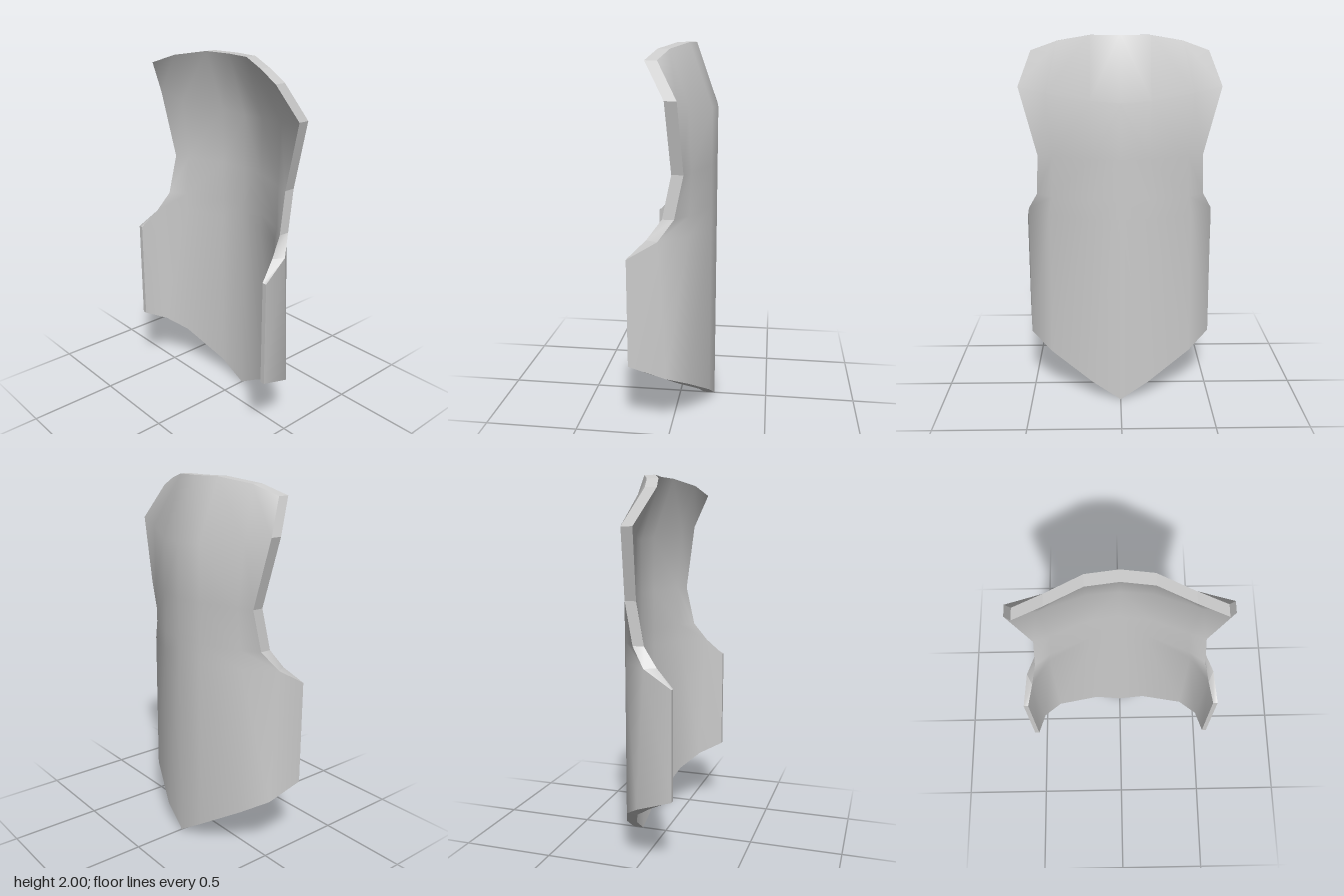
import * as THREE from 'three';

// Outer surface of one half, bottom row to top row, from the centre ridge to the side edge: [x, y, z]
const ROWS = [
  [[0.2, 0, 0], [0.182, 0.1, 0.155], [0.09, 0.25, 0.39], [-0.01, 0.33, 0.51], [-0.203, 0.4, 0.535]],
  [[0.2, 1.06, 0], [0.182, 1.06, 0.155], [0.09, 1.06, 0.385], [-0.05, 1.06, 0.51], [-0.203, 0.97, 0.535]],
  [[0.2, 1.16, 0], [0.182, 1.16, 0.155], [0.09, 1.16, 0.37], [0.025, 1.16, 0.455]],
  [[0.2, 1.38, 0], [0.182, 1.38, 0.155], [0.1, 1.38, 0.36], [0.07, 1.38, 0.44]],
  [[0.2, 1.67, 0], [0.182, 1.68, 0.155], [0.085, 1.71, 0.385], [0.05, 1.74, 0.535]],
  [[0.085, 2, 0], [0.065, 2, 0.155], [-0.01, 1.97, 0.33], [-0.05, 1.92, 0.472]],
];
const THICK = 0.06;

// Inner surface: pushed back in x, but inwards in z along the side wings
function innerPoint([x, y, z], row, col) {
  if (row < 2 && col === 4) return [x, y, z - 0.025];
  if (row < 2 && col === 3) return [x - THICK, y, z - 0.03];
  return [x - THICK, y, z];
}

function plateGeometry() {
  const outer = [], inner = [], ids = new Map();
  ROWS.forEach((row, r) => {
    for (let c = 1 - row.length; c < row.length; c++) {
      const k = Math.abs(c), s = c < 0 ? -1 : 1;
      const mirror = ([x, y, z]) => [x, y, z * s];
      ids.set(`${r},${c}`, outer.length);
      outer.push(mirror(row[k]));
      inner.push(mirror(innerPoint(row[k], r, k)));
    }
  });

  // Triangles of the outer sheet, with mirrored diagonals
  const tris = [];
  for (let r = 0; r < ROWS.length - 1; r++) {
    for (let c = -4; c < 4; c++) {
      const [a, b, d, e] = [[r, c], [r, c + 1], [r + 1, c], [r + 1, c + 1]].map((p) => ids.get(p.join()));
      if ([a, b, d, e].includes(undefined)) continue;
      if (c >= 0) tris.push([a, d, b], [b, d, e]);
      else tris.push([a, d, e], [a, e, b]);
    }
  }

  const n = outer.length;
  const points = [...outer, ...inner];
  const index = [];
  const edges = new Set();
  for (const [a, b, c] of tris) {
    index.push(a, b, c, n + a, n + c, n + b);
    [[a, b], [b, c], [c, a]].forEach((e) => edges.add(e.join()));
  }

  // Rim: a flat wall along every open edge
  for (const key of edges) {
    const [a, b] = key.split(',').map(Number);
    if (edges.has(`${b},${a}`)) continue;
    const i = points.length;
    points.push(outer[a], outer[b], inner[b], inner[a]);
    index.push(i, i + 2, i + 1, i, i + 3, i + 2);
  }

  const geometry = new THREE.BufferGeometry();
  geometry.setAttribute('position', new THREE.Float32BufferAttribute(points.flat(), 3));
  geometry.setIndex(index);
  geometry.computeVertexNormals();
  return geometry;
}

export function createModel() {
  const group = new THREE.Group();
  group.name = 'armourPlate';
  const plate = new THREE.Mesh(plateGeometry(), new THREE.MeshStandardMaterial({ color: 0xcccccc }));
  plate.name = 'curvedPlate';
  group.add(plate);
  return group;
}
